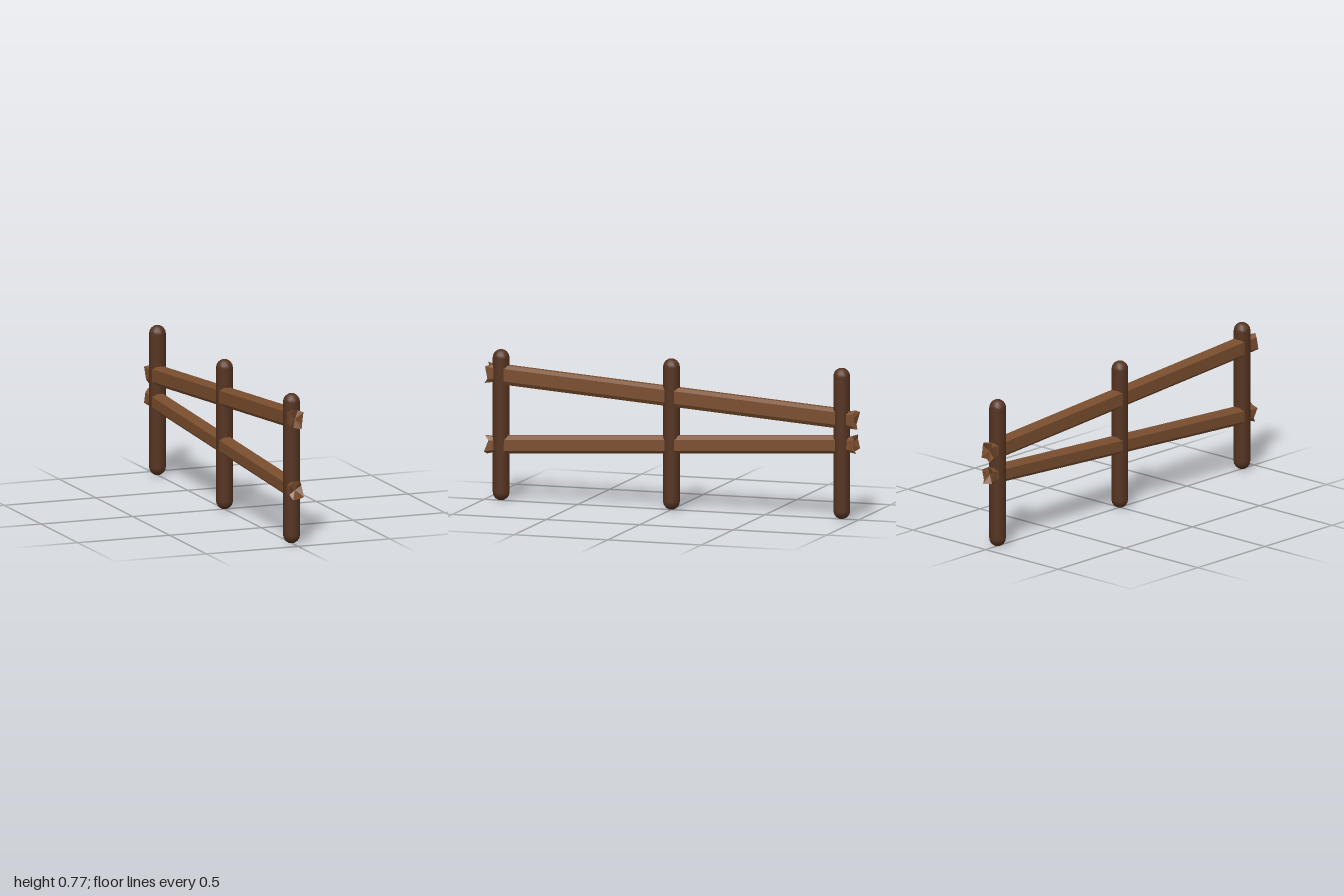
import * as THREE from 'three';

const postMaterial = new THREE.MeshStandardMaterial({ color: 0x553320, roughness: 0.9 });
const railMaterial = new THREE.MeshStandardMaterial({ color: 0x7a4e2e, roughness: 0.9, flatShading: true });

// Cross-sections, counter-clockwise seen from the front
const upperSection = [[0.022, -0.049], [0.034, -0.03], [0.034, 0.034], [0.016, 0.05],
  [-0.02, 0.049], [-0.037, 0.036], [-0.037, -0.028], [-0.014, -0.048]];
const lowerSection = [[0.02, -0.044], [0.034, -0.03], [0.033, 0.026], [0.014, 0.046],
  [-0.018, 0.045], [-0.037, 0.028], [-0.037, -0.026], [-0.02, -0.043]];

// Uneven splinter lengths around a broken end
const splinters = [0.03, 0.012, 0.024, 0.002, 0.026, 0.018, 0.03, 0.008];

// Hewn rail: straight shaft, pinched just past the outer posts, then flaring into a split end
function rail(name, section, yFront, yBack, shift) {
  const n = section.length;
  const slope = (yFront - yBack) / 1.82;
  const mid = (yFront + yBack) / 2;
  const stations = [
    { z: -0.965, s: 1.0, end: -1 }, { z: -0.945, s: 0.8 }, { z: -0.905, s: 1 },
    { z: 0.905, s: 1 }, { z: 0.945, s: 0.86 }, { z: 0.96, s: 1.0, end: 1 },
  ];
  const points = [];
  for (const { z, s, end } of stations) {
    section.forEach(([x, y], j) => {
      const length = end ? splinters[(j + shift + (end > 0 ? 0 : 3)) % n] : 0;
      const flare = s + (end ? (length - 0.018) * 7 : 0);
      const pz = z + (end || 0) * length;
      points.push(x * Math.min(flare, 1.06), mid + slope * pz + y * Math.min(flare, 1.06), pz);
    });
  }
  const index = [];
  for (let i = 0; i < stations.length - 1; i++) {
    for (let j = 0; j < n; j++) {
      const a = i * n + j, b = i * n + (j + 1) % n;
      index.push(a, b, b + n, a, b + n, a + n);
    }
  }
  // Hollowed end faces
  const back = points.length / 3, front = back + 1, last = (stations.length - 1) * n;
  points.push(0.006, mid - slope * 0.96, -0.962, -0.004, mid + slope * 0.96, 0.965);
  for (let j = 0; j < n; j++) {
    const k = (j + 1) % n;
    index.push(back, k, j, front, last + j, last + k);
  }
  const indexed = new THREE.BufferGeometry();
  indexed.setAttribute('position', new THREE.Float32BufferAttribute(points, 3));
  indexed.setIndex(index);
  const geometry = indexed.toNonIndexed();
  geometry.computeVertexNormals();
  const mesh = new THREE.Mesh(geometry, railMaterial);
  mesh.name = name;
  return mesh;
}

export function createModel() {
  const fence = new THREE.Group();
  fence.name = 'fence';

  // Round-ended posts
  const radius = 0.043, height = 0.775;
  const postGeometry = new THREE.CapsuleGeometry(radius, height - 2 * radius, 4, 14);
  [['frontPost', 0.91], ['middlePost', 0], ['backPost', -0.91]].forEach(([name, z]) => {
    const post = new THREE.Mesh(postGeometry, postMaterial);
    post.name = name;
    post.position.set(0, height / 2, z);
    fence.add(post);
  });

  // Two rails converging towards the back
  fence.add(rail('upperRail', upperSection, 0.647, 0.515, 0));
  fence.add(rail('lowerRail', lowerSection, 0.287, 0.383, 5));
  return fence;
}
